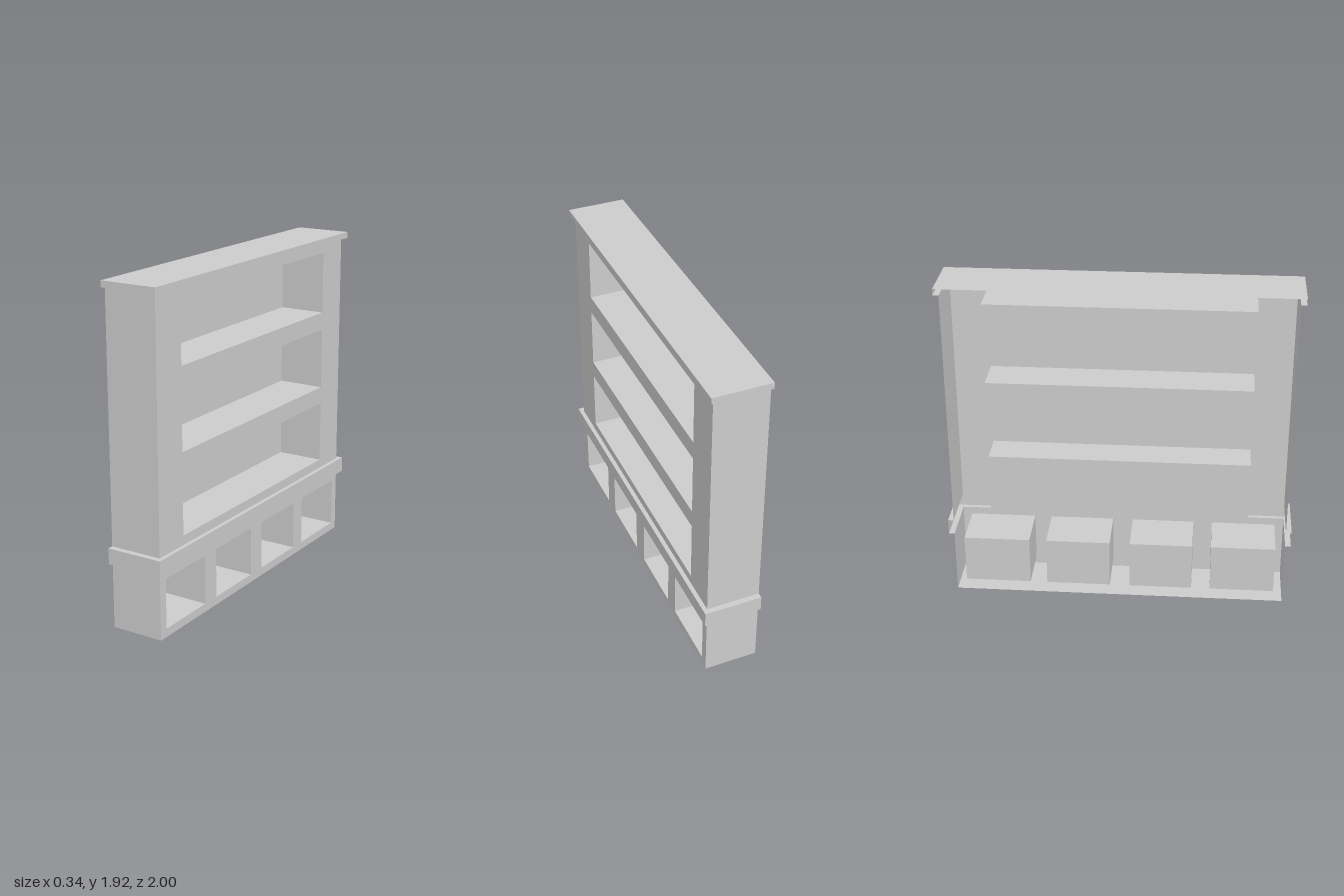
import * as THREE from 'three';

const BACK = -0.1675;       // open rear edge of the shell
const NICHE_BACK = -0.138;  // rear wall of every compartment
const BODY = { x: 0.1425, w: 0.967 };  // front plane and half width of the carcass
const TRIM = { x: 0.1675, w: 1 };      // front plane and half width of the mouldings

const material = new THREE.MeshStandardMaterial({
  color: 0xcccccc, flatShading: true, side: THREE.DoubleSide,
});

function add(group, name, geometry) {
  const mesh = new THREE.Mesh(geometry, material);
  mesh.name = name;
  group.add(mesh);
  return mesh;
}

// Open-backed U-shaped skin through a list of [y, size] levels; faceted, facing outward.
function skin(levels, withFront = true) {
  const outline = (y, s) => [
    [BACK, y, s.w], [s.x, y, s.w], [s.x, y, -s.w], [BACK, y, -s.w],
  ];
  const pos = [];
  for (let i = 0; i + 1 < levels.length; i++) {
    const a = outline(...levels[i]), b = outline(...levels[i + 1]);
    for (let j = 0; j < 3; j++) {
      if (j === 1 && !withFront) continue;
      pos.push(...a[j], ...a[j + 1], ...b[j + 1], ...a[j], ...b[j + 1], ...b[j]);
    }
  }
  const geometry = new THREE.BufferGeometry();
  geometry.setAttribute('position', new THREE.Float32BufferAttribute(pos, 3));
  geometry.computeVertexNormals();
  return geometry;
}

// Horizontal sheet closing the top or bottom of the shell.
function sheet(y, size, up) {
  const g = new THREE.PlaneGeometry(size.x - BACK, 2 * size.w);
  g.rotateX(up ? -Math.PI / 2 : Math.PI / 2);
  return g.translate((size.x + BACK) / 2, y, 0);
}

// Front panel facing +x with rectangular openings [z0, z1, y0, y1].
function frontPanel(y0, y1, openings) {
  const rect = (path, a, b, c, d) =>
    path.moveTo(-b, c).lineTo(-a, c).lineTo(-a, d).lineTo(-b, d).closePath();
  const shape = rect(new THREE.Shape(), -BODY.w, BODY.w, y0, y1);
  for (const o of openings) shape.holes.push(rect(new THREE.Path(), ...o));
  return new THREE.ShapeGeometry(shape).rotateY(Math.PI / 2).translate(BODY.x, 0, 0);
}

// Five-sided compartment, open toward +x.
function niche([z0, z1, y0, y1]) {
  const g = new THREE.BoxGeometry(BODY.x - NICHE_BACK, y1 - y0, z1 - z0);
  g.setIndex(Array.from(g.index.array).slice(6)); // drop the +x face
  g.clearGroups();
  return g.translate((BODY.x + NICHE_BACK) / 2, (y0 + y1) / 2, (z0 + z1) / 2);
}

// A section of the carcass: side walls, pierced front and its compartments.
function section(name, y0, y1, openings, nicheName) {
  const group = new THREE.Group();
  group.name = name;
  add(group, 'sideWalls', skin([[y0, BODY], [y1, BODY]], false));
  add(group, 'frontPanel', frontPanel(y0, y1, openings));
  openings.forEach((o, i) => add(group, nicheName + (i + 1), niche(o)));
  return group;
}

export function createModel() {
  const model = new THREE.Group();
  model.name = 'bookcase';

  // Base with four cubbyholes
  const cubbies = [[0.54, 0.915], [0.063, 0.43], [-0.43, -0.055], [-0.916, -0.53]]
    .map(([z0, z1]) => [z0, z1, 0.048, 0.337]);
  const base = section('base', 0, 0.381, cubbies, 'cubbyhole');
  add(base, 'floor', sheet(0, BODY, false));
  model.add(base);

  // Upper case with three long shelves
  const shelves = [[0.525, 0.89], [0.994, 1.355], [1.461, 1.824]]
    .map(([y0, y1]) => [-0.747, 0.747, y0, y1]);
  model.add(section('upperCase', 0.472, 1.88, shelves, 'shelf'));

  // Waist moulding between base and upper case
  add(model, 'waistMoulding',
    skin([[0.381, BODY], [0.381, TRIM], [0.472, TRIM], [0.472, BODY]]));

  // Cornice and top
  add(model, 'cornice', skin([[1.88, BODY], [1.88, TRIM], [1.916, TRIM]]));
  add(model, 'top', sheet(1.916, TRIM, true));

  return model;
}
